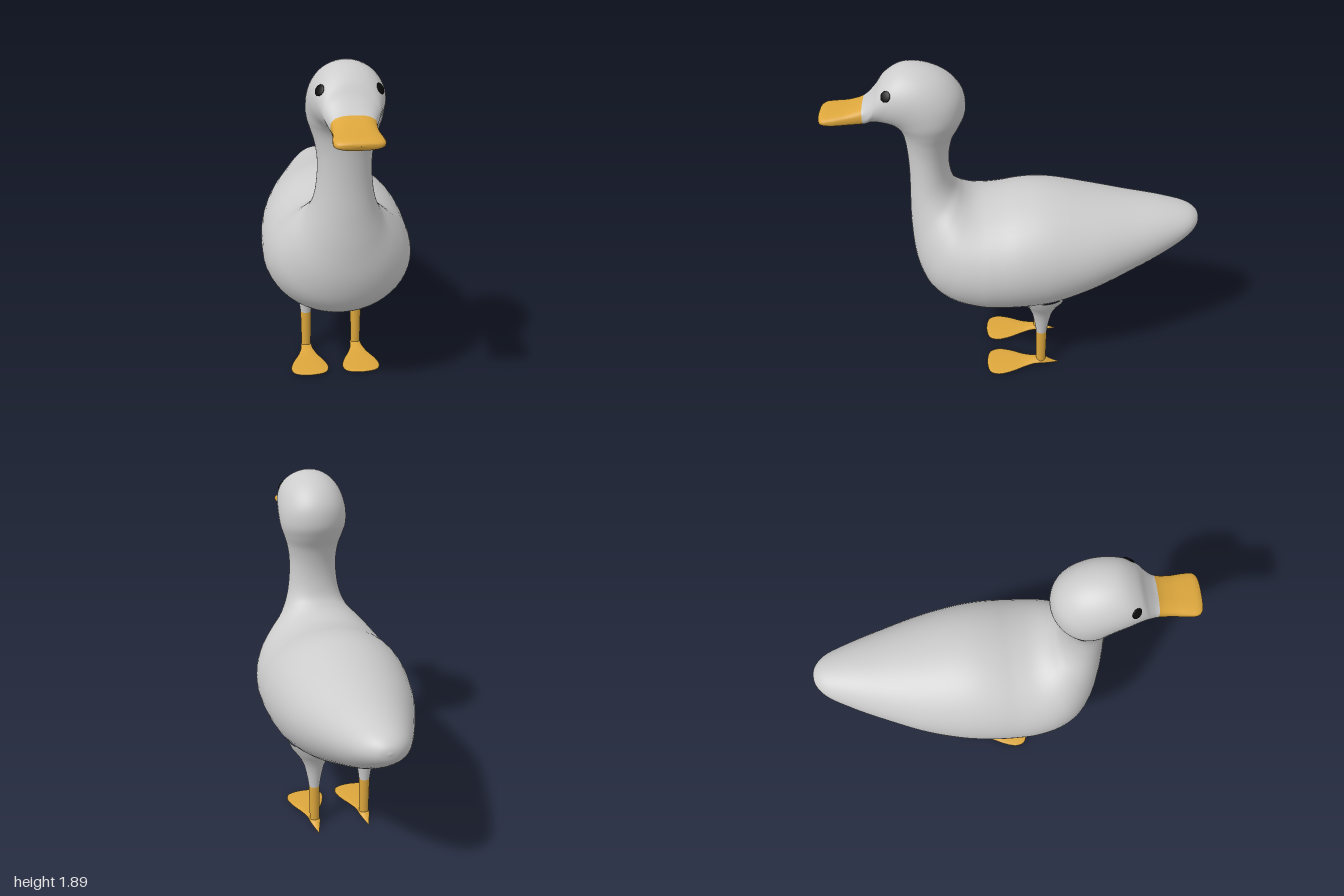
import * as THREE from 'three';

const feather = new THREE.MeshStandardMaterial({ color: 0xcccccc });
const orange = new THREE.MeshStandardMaterial({ color: 0xdca63c });
const black = new THREE.MeshStandardMaterial({ color: 0x0a0a0a });
feather.name = 'feather';
orange.name = 'orange';
black.name = 'black';

const STEPS = 5;

// Skin rounded ribs; each rib is [topZ, topY, bottomZ, bottomY, halfWidth, roundness]
function loft(ribs, sides) {
  const top = new THREE.CatmullRomCurve3(ribs.map(r => new THREE.Vector3(r[0], r[1], r[4])));
  const bottom = new THREE.CatmullRomCurve3(ribs.map(r => new THREE.Vector3(r[2], r[3], r[5] ?? 1)));
  const rows = (ribs.length - 1) * STEPS;
  const soften = (v, e) => Math.sign(v) * Math.pow(Math.abs(v), e);
  const pos = [], index = [];
  for (let i = 0; i <= rows; i++) {
    const a = top.getPoint(i / rows), b = bottom.getPoint(i / rows);
    for (let j = 0; j < sides; j++) {
      const t = (j / sides) * Math.PI * 2;
      const k = soften(Math.cos(t), b.z) / 2;
      pos.push(
        Math.max(a.z, 0) * soften(Math.sin(t), b.z),
        (a.y + b.y) / 2 + (a.y - b.y) * k,
        (a.x + b.x) / 2 + (a.x - b.x) * k
      );
      if (i < rows) {
        const n = (j + 1) % sides, r = i * sides, s = r + sides;
        index.push(r + j, s + j, r + n, r + n, s + j, s + n);
      }
    }
  }
  const geo = new THREE.BufferGeometry();
  geo.setAttribute('position', new THREE.Float32BufferAttribute(pos, 3));
  geo.setIndex(index);
  geo.computeVertexNormals();
  return geo;
}

function addMesh(parent, name, geometry, material) {
  const mesh = new THREE.Mesh(geometry, material);
  mesh.name = name;
  parent.add(mesh);
  return mesh;
}

// Tail to breast
const trunkRibs = [
  [-1, 0.945, -1, 0.945, 0],
  [-0.988, 0.98, -0.985, 0.895, 0.055],
  [-0.94, 1.015, -0.93, 0.84, 0.115],
  [-0.8, 1.05, -0.8, 0.75, 0.185],
  [-0.6, 1.08, -0.6, 0.645, 0.265],
  [-0.4, 1.115, -0.4, 0.55, 0.335],
  [-0.2, 1.152, -0.2, 0.475, 0.38],
  [-0.1, 1.158, -0.1, 0.458, 0.393],
  [0, 1.148, 0, 0.455, 0.4],
  [0.1, 1.128, 0.1, 0.457, 0.4],
  [0.19, 1.12, 0.22, 0.468, 0.395],
  [0.24, 1.128, 0.38, 0.515, 0.375],
  [0.28, 1.148, 0.5, 0.61, 0.335],
  [0.31, 1.175, 0.56, 0.75, 0.275],
];
// Neck, turning upright
const neckRibs = [
  [0.335, 1.21, 0.58, 0.94, 0.2],
  [0.35, 1.255, 0.577, 1.12, 0.157],
  [0.36, 1.32, 0.571, 1.28, 0.138],
  [0.357, 1.4, 0.575, 1.42, 0.135],
  [0.335, 1.49, 0.586, 1.505, 0.148],
  [0.295, 1.565, 0.602, 1.552, 0.167],
];
// Head, turning forward to the bill base
const headRibs = [
  [0.265, 1.64, 0.625, 1.582, 0.183],
  [0.275, 1.745, 0.652, 1.597, 0.188],
  [0.345, 1.835, 0.675, 1.6, 0.185],
  [0.455, 1.888, 0.695, 1.6, 0.175],
  [0.57, 1.893, 0.715, 1.6, 0.157],
  [0.66, 1.84, 0.735, 1.6, 0.137],
  [0.715, 1.765, 0.753, 1.6, 0.12, 0.9],
  [0.775, 1.706, 0.775, 1.6, 0.105, 0.75],
];
const billRibs = [
  [0.85, 1.678, 0.85, 1.6, 0.104, 0.7],
  [0.92, 1.667, 0.92, 1.602, 0.112, 0.7],
  [0.97, 1.66, 0.97, 1.608, 0.111, 0.75],
  [0.992, 1.65, 0.992, 1.617, 0.088, 0.8],
  [1, 1.635, 1, 1.635, 0, 0.8],
];
const footRibs = [
  [-0.24, 0.003, -0.24, 0.003, 0],
  [-0.19, 0.02, -0.19, 0.005, 0.016],
  [-0.145, 0.044, -0.145, 0.008, 0.03],
  [-0.09, 0.042, -0.09, 0.01, 0.035],
  [-0.03, 0.032, -0.03, 0.01, 0.055],
  [0.05, 0.029, 0.05, 0.01, 0.092],
  [0.12, 0.027, 0.12, 0.01, 0.108],
  [0.165, 0.025, 0.165, 0.01, 0.092],
  [0.182, 0.023, 0.182, 0.011, 0.06],
  [0.19, 0.017, 0.19, 0.017, 0],
];

export function createModel() {
  const model = new THREE.Group();
  model.name = 'duck';

  // One continuous skin, cut into feathered body and bill
  const SIDES = 48;
  const bodyRibs = [...trunkRibs, ...neckRibs, ...headRibs];
  const skin = loft([...bodyRibs, ...billRibs], SIDES);
  const cut = (bodyRibs.length - 1) * STEPS * SIDES * 6;
  const all = Array.from(skin.index.array);
  const bodyGeo = skin.clone().setIndex(all.slice(0, cut));
  const billGeo = skin.clone().setIndex(all.slice(cut));
  const body = addMesh(model, 'body', bodyGeo, feather);
  addMesh(model, 'bill', billGeo, orange);

  const thighGeo = new THREE.LatheGeometry([
    [0.031, 0.26], [0.036, 0.3], [0.045, 0.35], [0.056, 0.4],
    [0.075, 0.445], [0.1, 0.485], [0.128, 0.525], [0.15, 0.58],
  ].map(p => new THREE.Vector2(...p)), 32);
  const shankGeo = new THREE.CylinderGeometry(0.031, 0.027, 0.24, 32);
  const footGeo = loft(footRibs, 24);
  const eyeGeo = new THREE.SphereGeometry(0.028, 24, 16);

  for (const [side, s] of [['left', 1], ['right', -1]]) {
    // Leg with webbed foot
    const leg = new THREE.Group();
    leg.name = side + 'Leg';
    leg.position.x = 0.148 * s;
    addMesh(leg, side + 'Thigh', thighGeo, feather).position.z = -0.13;
    addMesh(leg, side + 'Shank', shankGeo, orange).position.set(0, 0.14, -0.13);
    addMesh(leg, side + 'Foot', footGeo, orange);
    model.add(leg);

    // Flat eye laid on the surface of the head
    const ray = new THREE.Raycaster(new THREE.Vector3(s, 1.79, 0.645), new THREE.Vector3(-s, 0, 0));
    const hit = ray.intersectObject(body)[0];
    const eye = addMesh(model, side + 'Eye', eyeGeo, black);
    eye.position.copy(hit.point);
    eye.quaternion.setFromUnitVectors(new THREE.Vector3(0, 0, 1), hit.face.normal);
    eye.scale.z = 0.25;
  }
  return model;
}
